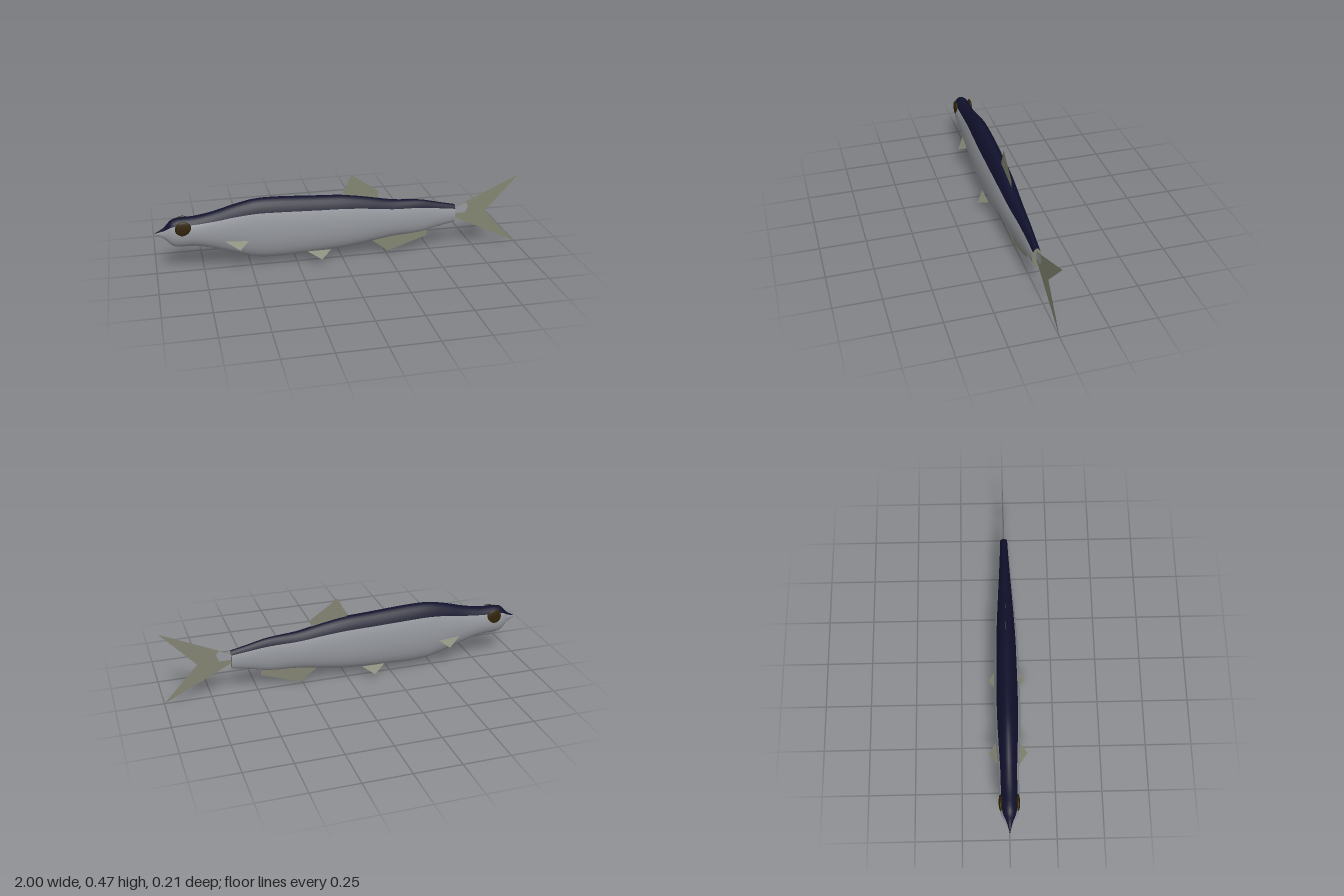
import * as THREE from 'three';

const mat = (name, color, side = THREE.FrontSide) => {
  const m = new THREE.MeshStandardMaterial({ color, side });
  m.name = name;
  return m;
};

export function createModel() {
  const silver = mat('silver', 0x96999f, THREE.DoubleSide);
  const navy = mat('navy', 0x10112c);
  const finGrey = mat('finGrey', 0x828472, THREE.DoubleSide);
  const eyeBrown = mat('eyeBrown', 0x30240a);

  const fish = new THREE.Group();
  fish.name = 'fish';
  const add = (name, geometry, material) => {
    const mesh = new THREE.Mesh(geometry, material);
    mesh.name = name;
    fish.add(mesh);
    return mesh;
  };

  // Body stations from snout to tail root: x, top y, bottom y, half width
  const stations = [
    [-1, 0.228, 0.226, 0.001], [-0.95, 0.257, 0.197, 0.019], [-0.9, 0.302, 0.152, 0.045],
    [-0.79, 0.31, 0.144, 0.052], [-0.685, 0.329, 0.118, 0.054], [-0.58, 0.358, 0.083, 0.06],
    [-0.47, 0.38, 0.051, 0.066], [-0.365, 0.382, 0.043, 0.069], [-0.257, 0.377, 0.045, 0.069],
    [-0.123, 0.369, 0.051, 0.067], [0.01, 0.361, 0.059, 0.064], [0.144, 0.34, 0.078, 0.057],
    [0.278, 0.313, 0.099, 0.048], [0.438, 0.299, 0.11, 0.036], [0.545, 0.275, 0.134, 0.029],
    [0.636, 0.255, 0.15, 0.024],
  ];
  const outline = new THREE.CatmullRomCurve3(stations.map(([x, t, b]) => new THREE.Vector3(x, t, b)));
  const widths = new THREE.CatmullRomCurve3(stations.map(([x, , , w]) => new THREE.Vector3(x, w, 0)));

  // Ring angles: the dark back comes first, then the silver sides and belly
  const BACK = 12, BELLY = 28, RING = BACK + BELLY, ROWS = 60;
  const edge = THREE.MathUtils.degToRad(37);
  const angles = [];
  for (let j = 0; j < BACK; j++) angles.push(edge + (Math.PI - 2 * edge) * j / BACK);
  for (let j = 0; j < BELLY; j++) angles.push(Math.PI - edge + (Math.PI + 2 * edge) * j / BELLY);

  const positions = [];
  for (let i = 0; i <= ROWS; i++) {
    const p = outline.getPoint(i / ROWS), w = widths.getPoint(i / ROWS).y;
    for (const a of angles) {
      positions.push(p.x, (p.y + p.z) / 2 + Math.sin(a) * (p.y - p.z) / 2, Math.cos(a) * w);
    }
  }
  const strip = (from, to) => {
    const index = [];
    for (let i = 0; i < ROWS; i++) {
      for (let j = from; j < to; j++) {
        const a = i * RING + j, b = i * RING + (j + 1) % RING;
        index.push(a, a + RING, b + RING, a, b + RING, b);
      }
    }
    return index;
  };
  const back = strip(0, BACK), belly = strip(BACK, RING);
  const body = new THREE.BufferGeometry();
  body.setAttribute('position', new THREE.Float32BufferAttribute(positions, 3));
  body.setIndex([...back, ...belly]);
  body.addGroup(0, back.length, 0);
  body.addGroup(back.length, belly.length, 1);
  body.computeVertexNormals();
  add('body', body, [navy, silver]);

  // Oval end of the body
  const cap = add('tailRoot', new THREE.CircleGeometry(1, 32), finGrey);
  cap.scale.set(0.024, 0.0525, 1);
  cap.rotation.y = Math.PI / 2;
  cap.position.set(0.636, 0.2025, 0);

  // Upright fins along the centre line
  const flat = (points) => new THREE.ShapeGeometry(new THREE.Shape(points.map(([x, y]) => new THREE.Vector2(x, y))));
  add('dorsalFin', flat([[-0.01, 0.33], [0, 0.36], [0.05, 0.473], [0.2, 0.37], [0.2, 0.31]]), finGrey);
  add('analFin', flat([[0.16, 0.1], [0.17, 0.08], [0.26, 0.01], [0.48, 0.083], [0.48, 0.13]]), finGrey);
  add('tailFin', flat([[0.636, 0.18], [1, 0], [0.815, 0.2], [1, 0.4], [0.636, 0.235]]), finGrey);

  // Paired parts on both sides
  for (const [side, s] of [['left', 1], ['right', -1]]) {
    const patch = add(side + 'TailPatch', flat([[0.637, 0.202], [0.7, 0.202], [0.715, 0.24], [0.7, 0.262], [0.637, 0.234]]), silver);
    patch.position.z = s * 0.003;

    const eye = add(side + 'Eye', new THREE.SphereGeometry(0.043, 24, 16), eyeBrown);
    eye.scale.z = 0.25;
    eye.position.set(-0.85, 0.257, s * 0.044);

    const fins = {
      PectoralFin: [[-0.64, 0.175, 0.055], [-0.565, 0.136, 0.103], [-0.515, 0.168, 0.062]],
      PelvicFin: [[-0.2, 0.074, 0.053], [-0.13, 0.04, 0.1], [-0.07, 0.074, 0.053]],
    };
    for (const [name, corners] of Object.entries(fins)) {
      const g = new THREE.BufferGeometry().setFromPoints(
        corners.map(([x, y, z]) => new THREE.Vector3(x, y, s * z)));
      g.setIndex(s > 0 ? [0, 1, 2] : [0, 2, 1]);
      g.computeVertexNormals();
      add(side + name, g, finGrey);
    }
  }
  return fish;
}
